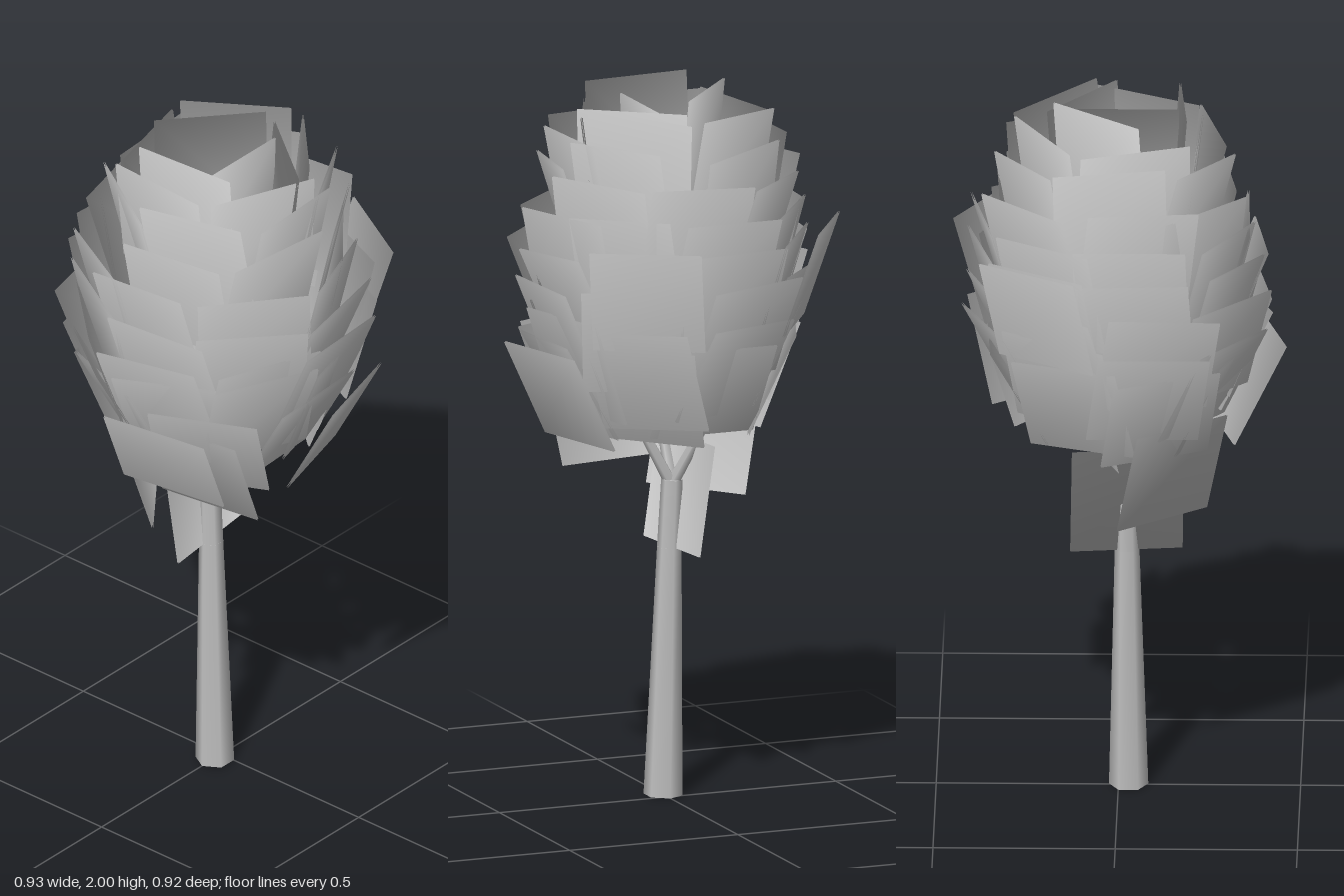
import * as THREE from 'three';

export function createModel() {
  const tree = new THREE.Group();
  tree.name = 'tree';
  const grey = new THREE.MeshStandardMaterial({ color: 0xc0c0c0, side: THREE.DoubleSide });
  grey.name = 'plain grey';

  // small seeded generator, returns -1..1
  let seed = 11;
  const jitter = () => {
    seed = (seed * 16807) % 2147483647;
    return (seed / 2147483647) * 2 - 1;
  };

  // tapered limb between two points
  function limb(name, from, to, r0, r1, sides) {
    const a = new THREE.Vector3(...from), b = new THREE.Vector3(...to);
    const dir = b.clone().sub(a);
    const mesh = new THREE.Mesh(new THREE.CylinderGeometry(r1, r0, dir.length(), sides), grey);
    mesh.name = name;
    mesh.position.copy(a).add(b).multiplyScalar(0.5);
    mesh.quaternion.setFromUnitVectors(new THREE.Vector3(0, 1, 0), dir.normalize());
    tree.add(mesh);
  }

  // trunk with a slight bend, then forking branches
  limb('trunkLower', [0.002, 0.003, 0.028], [-0.015, 0.7, 0.024], 0.054, 0.034, 6);
  limb('trunkUpper', [-0.015, 0.7, 0.024], [-0.022, 0.89, 0.022], 0.034, 0.03, 6);
  const fork = [-0.022, 0.875, 0.022];
  for (const tip of [[0.2, 1.3, 0.05], [-0.03, 1.25, 0.22], [-0.16, 1.22, -0.11]])
    limb('branch', fork, tip, 0.018, 0.008, 5);

  const size = 0.31;
  const foliage = new THREE.Group();
  foliage.name = 'foliage';
  tree.add(foliage);
  const pose = new THREE.Object3D();
  pose.rotation.order = 'YXZ';

  // one sheet of a leaf card, with soft normals that follow the rounded crown
  function sheet(name, offset, turnedBack, turn, side) {
    const geo = new THREE.PlaneGeometry(size, size).translate(0, 0, offset).applyMatrix4(pose.matrix);
    const { position, normal } = geo.attributes;
    const n = new THREE.Vector3();
    for (let i = 0; i < position.count; i++) {
      n.fromBufferAttribute(position, i);
      n.set(n.x + Math.sin(turn) * 0.15, (n.y - 1.5) * 0.42, n.z + Math.cos(turn) * 0.15);
      n.normalize().multiplyScalar(side);
      normal.setXYZ(i, n.x, n.y, n.z);
    }
    if (turnedBack) geo.index.array.reverse();
    const mesh = new THREE.Mesh(geo, grey);
    mesh.name = name;
    foliage.add(mesh);
  }

  // square leaf card tipped outwards at the top; side = -1 turns its shading inwards
  function card(x, y, z, turn, tilt, roll = 0, side = 1) {
    pose.position.set(x, y, z);
    pose.rotation.set(tilt, turn, roll);
    pose.updateMatrix();
    sheet('leafOuterFace', 0.002, false, turn, side);
    sheet('leafInnerFace', -0.002, true, turn, side);
  }

  // crown rings: height of top edge, radius of top edge, outward lean, count
  const rings = [
    [1.95, 0.235, 0.04, 5], [1.88, 0.28, 0.06, 6], [1.78, 0.325, 0.07, 7], [1.69, 0.36, 0.08, 8],
    [1.59, 0.38, 0.1, 8], [1.49, 0.385, 0.11, 8], [1.4, 0.38, 0.13, 8], [1.32, 0.36, 0.14, 7],
  ];
  rings.forEach(([top, radius, lean, count], ring) => {
    for (let i = 0; i < count; i++) {
      const angle = ((i + jitter() * 0.15) / count) * Math.PI * 2 + ring * 2.4;
      const tilt = Math.asin(lean / size) + jitter() * 0.08;
      const r = radius - lean / 2 + jitter() * 0.015;
      const y = top - (size / 2) * Math.cos(tilt) + jitter() * 0.02;
      card(Math.sin(angle) * r, y, Math.cos(angle) * r, angle + jitter() * 0.2, tilt, jitter() * 0.08);
    }
  });

  // stray cards: low hanging, wide spread and the topmost ones
  const strays = [
    [0.1, 1.155, 0.355, 0.2, 0.5, -0.06],
    [0.35, 1.175, -0.07, 1.84, 0.48, 0, -1],
    [-0.17, 0.98, 0.15, -0.9, 0.3, 0, -1],
    [-0.045, 0.853, 0.025, -1.45, 0.15, 0, -1],
    [0.11, 1.07, 0.22, 0.15, 0.4],
    [-0.335, 1.49, -0.22, -2.15, 0.33],
    [0.2, 1.48, -0.335, 2.64, 0.33],
    [0.02, 1.843, 0.165, 0.07, 0.08],
    [-0.08, 1.843, -0.05, -2.28, 0.1],
    [0.14, 1.81, -0.09, 2.5, 0.1],
    [0.065, 1.8, 0.01, 1.57, 0.04],
  ];
  strays.forEach((s) => card(...s));
  return tree;
}
